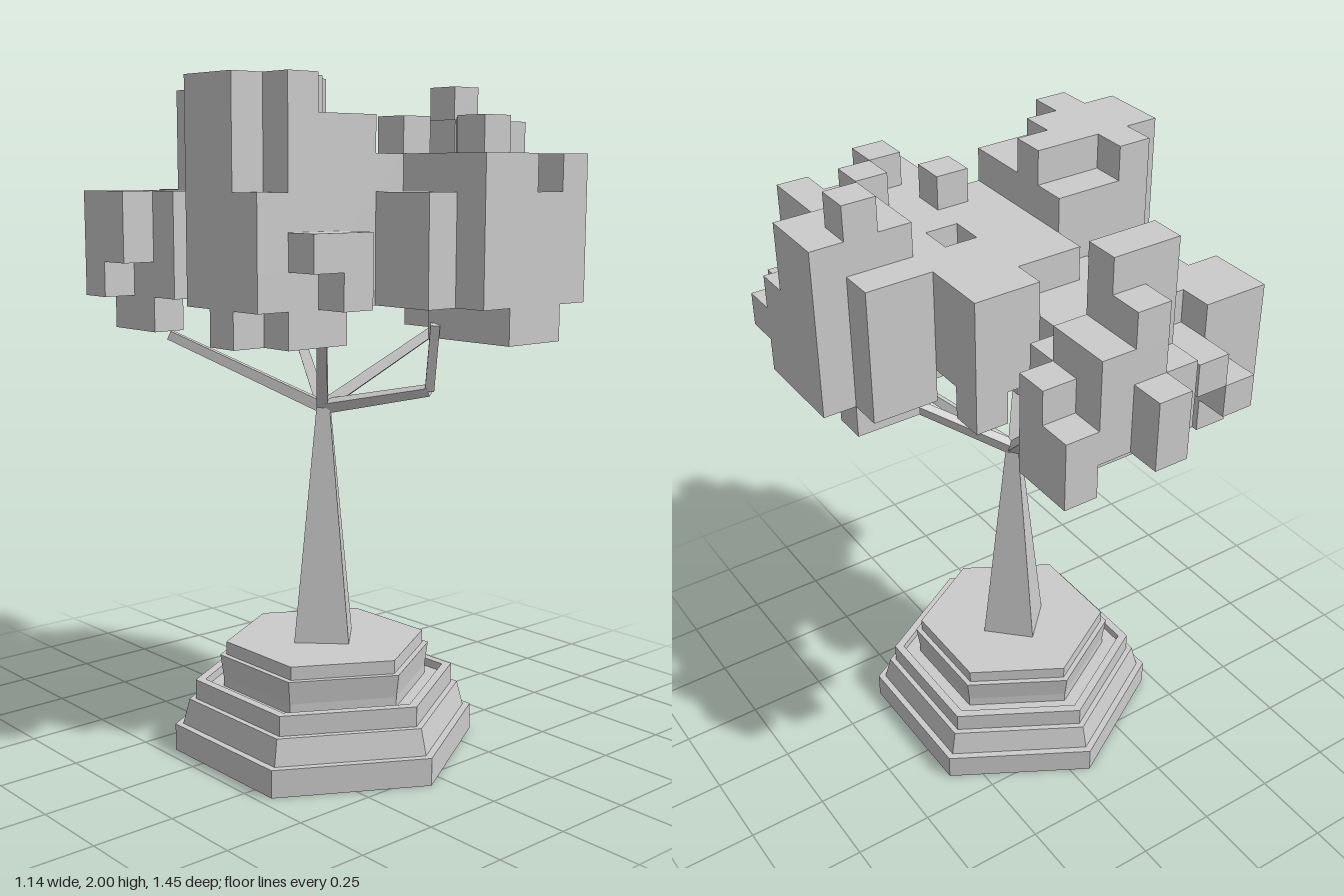
import * as THREE from 'three';
import { mergeGeometries } from 'three/addons/utils/BufferGeometryUtils.js';

const CX = -0.058, CZ = 0.094; // axis shared by trunk and pedestal
const CELL = 0.1034, CANOPY_Y = 1.28;

// Canopy plan, back to front, one character per cell: top and bottom level of each column
const TOPS = [
  '.....4.....', '....4653...', '.23.7754...', '4433544....', '444444.....',
  '.4444455...', '...45555...', '.766555555.', '777755.5676', '77765555666',
  '476656555.4', '.33.4556543', '....456553.', '.....5545..',
];
const BOTTOMS = [
  '.....2.....', '....2221...', '.12.3111...', '1023212....', '202322.....',
  '.1213221...', '...12132...', '.112212211.', '101212.1001', '00121211011',
  '100111101.1', '.21.1100112', '....110011.', '.....1001..',
];

function filled(x, y, z) {
  const top = TOPS[z]?.[x] ?? '.';
  return top !== '.' && y >= Number(BOTTOMS[z][x]) && y < Number(top);
}

// Only the exposed sides of the cells are built
function canopyGeometry() {
  const sides = [
    [1, 0, 0], [-1, 0, 0], [0, 1, 0], [0, -1, 0], [0, 0, 1], [0, 0, -1],
  ].map((d) => {
    const face = new THREE.PlaneGeometry(CELL, CELL).translate(0, 0, CELL / 2);
    if (d[0]) face.rotateY(d[0] * Math.PI / 2);
    else if (d[1]) face.rotateX(-d[1] * Math.PI / 2);
    else if (d[2] < 0) face.rotateY(Math.PI);
    return { d, face };
  });
  const faces = [];
  for (let z = 0; z < 14; z++) {
    for (let x = 0; x < 11; x++) {
      for (let y = 0; y < 7; y++) {
        if (!filled(x, y, z)) continue;
        for (const { d, face } of sides) {
          if (filled(x + d[0], y + d[1], z + d[2])) continue;
          faces.push(face.clone().translate(
            (x - 5) * CELL, CANOPY_Y + (y + 0.5) * CELL, (z - 6.5) * CELL));
        }
      }
    }
  }
  return mergeGeometries(faces);
}

export function createModel() {
  const model = new THREE.Group();
  const material = new THREE.MeshStandardMaterial({ color: 0xcccccc, flatShading: true });
  const add = (name, geometry) => {
    const mesh = new THREE.Mesh(geometry, material);
    mesh.name = name;
    model.add(mesh);
    return mesh;
  };

  // Stepped hexagonal pedestal, with a shallow channel round the upper block
  const profile = [
    [0, 0], [0.467, 0], [0.467, 0.083], [0.443, 0.083], [0.423, 0.16], [0.403, 0.16],
    [0.403, 0.22], [0.373, 0.22], [0.373, 0.195], [0.317, 0.195], [0.317, 0.225],
    [0.327, 0.295], [0.308, 0.295], [0.308, 0.335], [0, 0.335],
  ].map(([r, y]) => new THREE.Vector2(r, y));
  add('pedestal', new THREE.LatheGeometry(profile, 6)).position.set(CX, 0, CZ);

  // Four-sided tapering trunk
  add('trunk', new THREE.CylinderGeometry(0.028, 0.118, 0.72, 4))
    .position.set(CX, 0.69, CZ - 0.01);

  // Thin branches running from the trunk top up into the canopy
  const up = new THREE.Vector3(0, 1, 0);
  const limb = (a, b, r0, r1) => {
    const dir = new THREE.Vector3().subVectors(b, a);
    const mesh = add('branch', new THREE.CylinderGeometry(r1, r0, dir.length(), 4));
    mesh.position.addVectors(a, b).multiplyScalar(0.5);
    mesh.quaternion.setFromUnitVectors(up, dir.normalize());
  };
  const root = [CX, 1.05, CZ - 0.015];
  const branches = [
    [root, [0.065, 1.125, 0.41], [0.045, 1.32, 0.45]],
    [root, [-0.21, 1.41, 0.25]],
    [root, [0.1, 1.4, -0.31]],
    [root, [-0.39, 1.265, -0.24]],
    [root, [0.29, 1.29, 0.24]],
  ];
  for (const path of branches) {
    const points = path.map((p) => new THREE.Vector3(...p));
    for (let i = 1; i < points.length; i++) {
      limb(points[i - 1], points[i], i === 1 ? 0.024 : 0.019, 0.019);
    }
  }

  add('canopy', canopyGeometry());
  return model;
}
